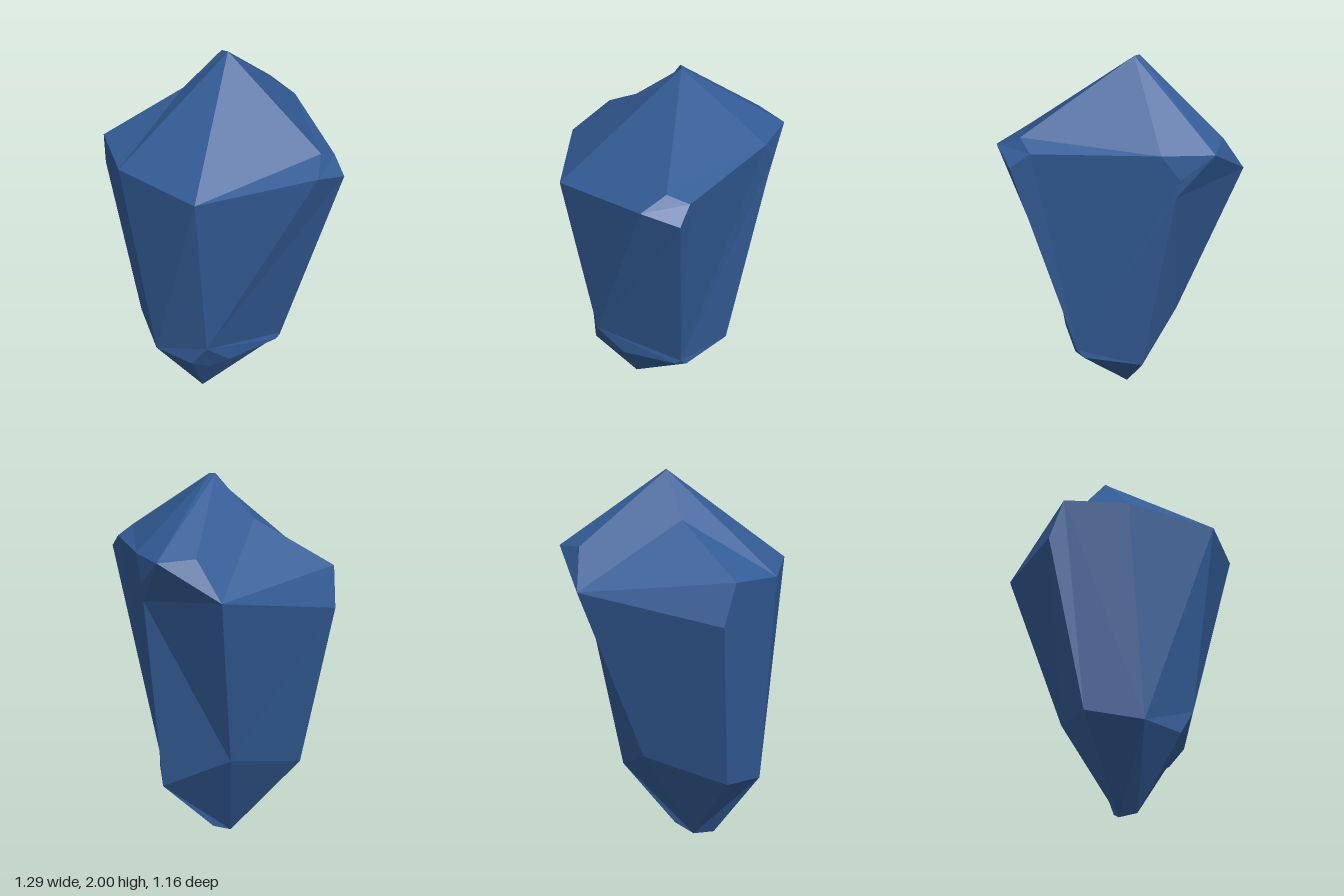
import * as THREE from 'three';

// Corner points of the cut crystal
const V = {
  // apex ridge and upper crown
  P: [-0.075, 2, -0.04], P2: [-0.11, 2, -0.035], Q: [-0.29, 1.775, 0.055], M: [0.545, 1.67, 0.055],
  // shoulder ring
  A: [-0.18, 1.62, -0.58], B: [-0.02, 1.5, -0.51], C: [0.06, 1.63, -0.46], D: [0.555, 1.62, -0.055],
  E: [0.645, 1.55, -0.005], F: [0.61, 1.61, 0.18], G: [0.175, 1.505, 0.577], H: [-0.335, 1.505, 0.53],
  I: [-0.6, 1.53, 0.335], J: [-0.65, 1.32, 0.28], K: [-0.475, 1.44, -0.45], L: [-0.325, 1.64, -0.457],
  N: [-0.012, 1.4, -0.49],
  // lower ring
  a: [-0.44, 0.43, 0.3], b: [-0.2, 0.38, 0.466], c: [0.03, 0.365, 0.445], d: [0.12, 0.5, 0.43],
  f: [0.07, 0.285, 0.33], g: [0.165, 0.355, 0.287], e: [0.28, 0.365, 0.005], h: [0.287, 0.39, -0.027],
  i: [0.265, 0.35, -0.058], k: [0.04, 0.345, -0.293], m: [-0.3, 0.52, -0.143],
  // lower tip
  t: [-0.075, 0, 0.22], s: [-0.11, 0, 0.11], u: [-0.07, 0.045, 0.005],
};

const CROWN = ['P G H', 'P M F G', 'P C D M', 'P A B C', 'P P2 L A', 'P2 Q K L', 'P2 P H I Q', 'Q I J K', 'M D E F'];
const BODY = ['H G d c b', 'G F E h e g d', 'h i k N B C D E', 'A B N', 'A N K', 'A K L', 'N k m K', 'J K m a', 'I J a b H'];
const TIP = ['c d g f', 'b c f t', 'a b t s', 'm a s', 'm s u k', 'k u i', 'e h i', 'u t f g e i', 'u s t'];

// Turns flat facets into triangles, each facet wound to face outward
function facets(list) {
  const positions = [];
  const core = new THREE.Vector3(0, 1, 0);
  for (const names of list) {
    const pts = names.split(' ').map((n) => new THREE.Vector3(...V[n]));
    const normal = new THREE.Vector3();
    const middle = new THREE.Vector3();
    pts.forEach((p, n) => {
      normal.add(p.clone().cross(pts[(n + 1) % pts.length]));
      middle.addScaledVector(p, 1 / pts.length);
    });
    if (normal.dot(middle.sub(core)) < 0) pts.reverse();
    for (let n = 1; n < pts.length - 1; n++) {
      for (const p of [pts[0], pts[n], pts[n + 1]]) positions.push(p.x, p.y, p.z);
    }
  }
  const geometry = new THREE.BufferGeometry();
  geometry.setAttribute('position', new THREE.Float32BufferAttribute(positions, 3));
  geometry.computeVertexNormals();
  return geometry;
}

export function createModel() {
  const group = new THREE.Group();
  group.name = 'crystal';
  const blue = new THREE.MeshStandardMaterial({ color: 0x335c96, flatShading: true, side: THREE.DoubleSide });
  blue.name = 'crystal blue';

  // Crown on top, tapering body, pointed underside
  for (const [name, list] of [['crown', CROWN], ['body', BODY], ['lowerTip', TIP]]) {
    const mesh = new THREE.Mesh(facets(list), blue);
    mesh.name = name;
    group.add(mesh);
  }
  return group;
}
